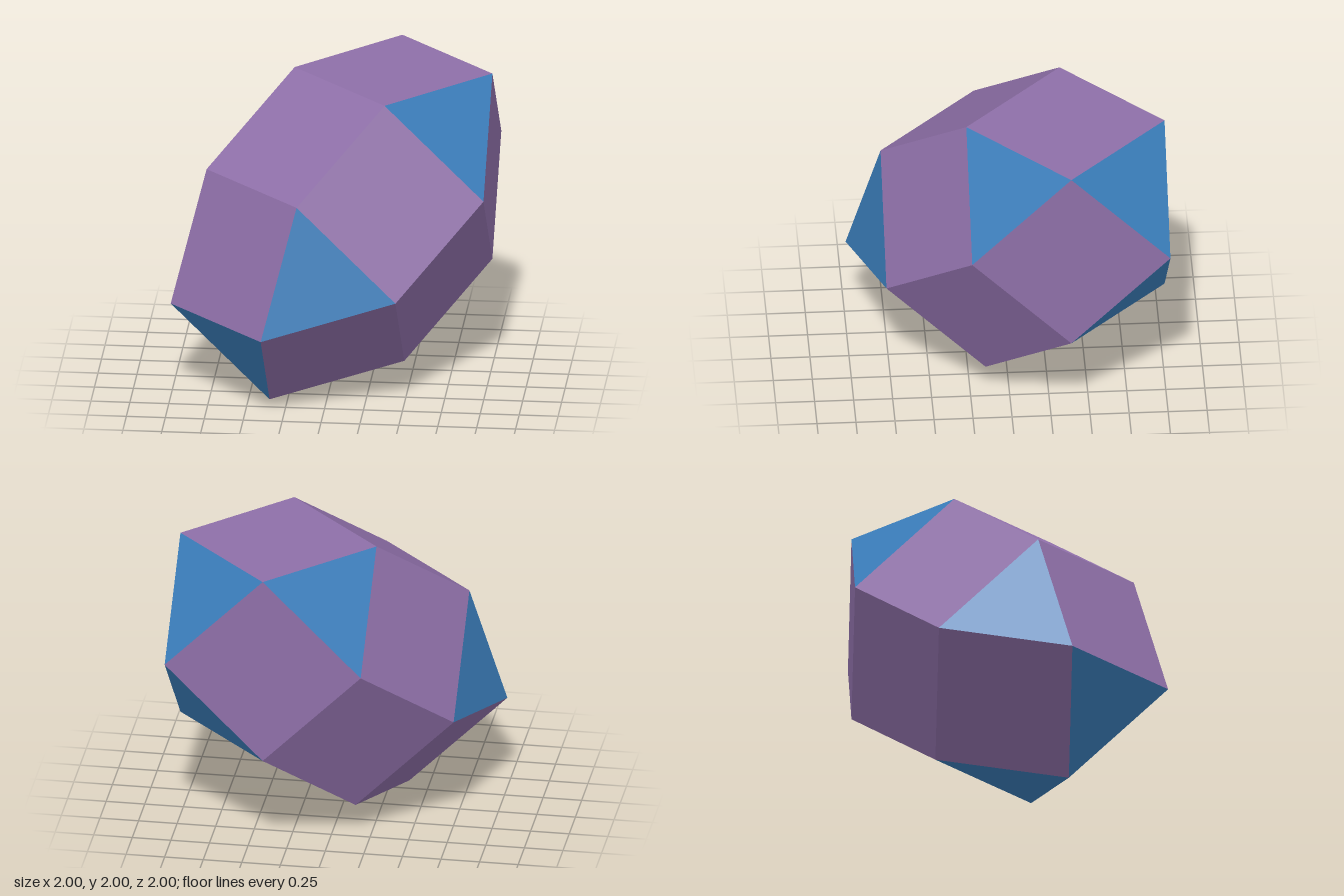
import * as THREE from 'three';

// Elongated triangular bicupola standing on one vertex, its long axis along (1, 1, -1).
const S = 0.635;                        // half diagonal of a square face
const D = 1 - S;                        // offset of the upper cupola along the axis
const PRISM = S * Math.sqrt(2 / 3);     // shift between the two hexagon rings
const LENGTH = S * (4 / 3) + PRISM;     // shift between the two end triangles
const CENTRE = new THREE.Vector3(D - PRISM / 2, 1 + D - PRISM / 2, -(D - PRISM / 2));

// Ring point, moved down the axis by the given shift
const point = ([u, v, w], shift) => {
  const o = D - shift;
  return new THREE.Vector3(u * S + o, v * S + o + 1, -(w * S + o));
};

// Flat convex faces as one geometry, every face turned outwards
function facesGeometry(faces) {
  const positions = [];
  for (const face of faces) {
    const [a, b, c] = face;
    const normal = b.clone().sub(a).cross(c.clone().sub(a));
    const f = normal.dot(a.clone().sub(CENTRE)) < 0 ? [...face].reverse() : face;
    for (let i = 1; i < f.length - 1; i++) {
      for (const p of [f[0], f[i], f[i + 1]]) positions.push(p.x, p.y, p.z);
    }
  }
  const geometry = new THREE.BufferGeometry();
  geometry.setAttribute('position', new THREE.Float32BufferAttribute(positions, 3));
  geometry.computeVertexNormals();
  return geometry;
}

export function createModel() {
  const purple = new THREE.MeshStandardMaterial({ color: 0x8e6fa8 });
  purple.name = 'purple';
  const blue = new THREE.MeshStandardMaterial({ color: 0x3a7dba });
  blue.name = 'blue';

  const group = new THREE.Group();
  group.name = 'polyhedron';
  const add = (name, faces, material) => {
    const mesh = new THREE.Mesh(facesGeometry(faces), material);
    mesh.name = name;
    group.add(mesh);
  };

  const hexagon = [[1, -1, 0], [1, 0, -1], [0, 1, -1], [-1, 1, 0], [-1, 0, 1], [0, -1, 1]];
  const triangle = [[1, 1, 0], [0, 1, 1], [1, 0, 1]];
  const upperRing = hexagon.map((p) => point(p, 0));
  const lowerRing = hexagon.map((p) => point(p, PRISM));

  // Prism belt of six squares
  add('beltSquares', upperRing.map((p, i) => {
    const j = (i + 1) % 6;
    return [p, upperRing[j], lowerRing[j], lowerRing[i]];
  }), purple);

  // Mirrored cupolas: three squares, three triangles and an end triangle each
  for (const [name, ring, shift] of [['upper', upperRing, 0], ['lower', lowerRing, LENGTH]]) {
    const end = triangle.map((p) => point(p, shift));
    const squares = [];
    const triangles = [end];
    for (let i = 0; i < 3; i++) {
      squares.push([ring[2 * i], ring[2 * i + 1], end[i], end[(i + 2) % 3]]);
      triangles.push([ring[2 * i + 1], ring[(2 * i + 2) % 6], end[i]]);
    }
    add(name + 'Squares', squares, purple);
    add(name + 'Triangles', triangles, blue);
  }
  return group;
}
